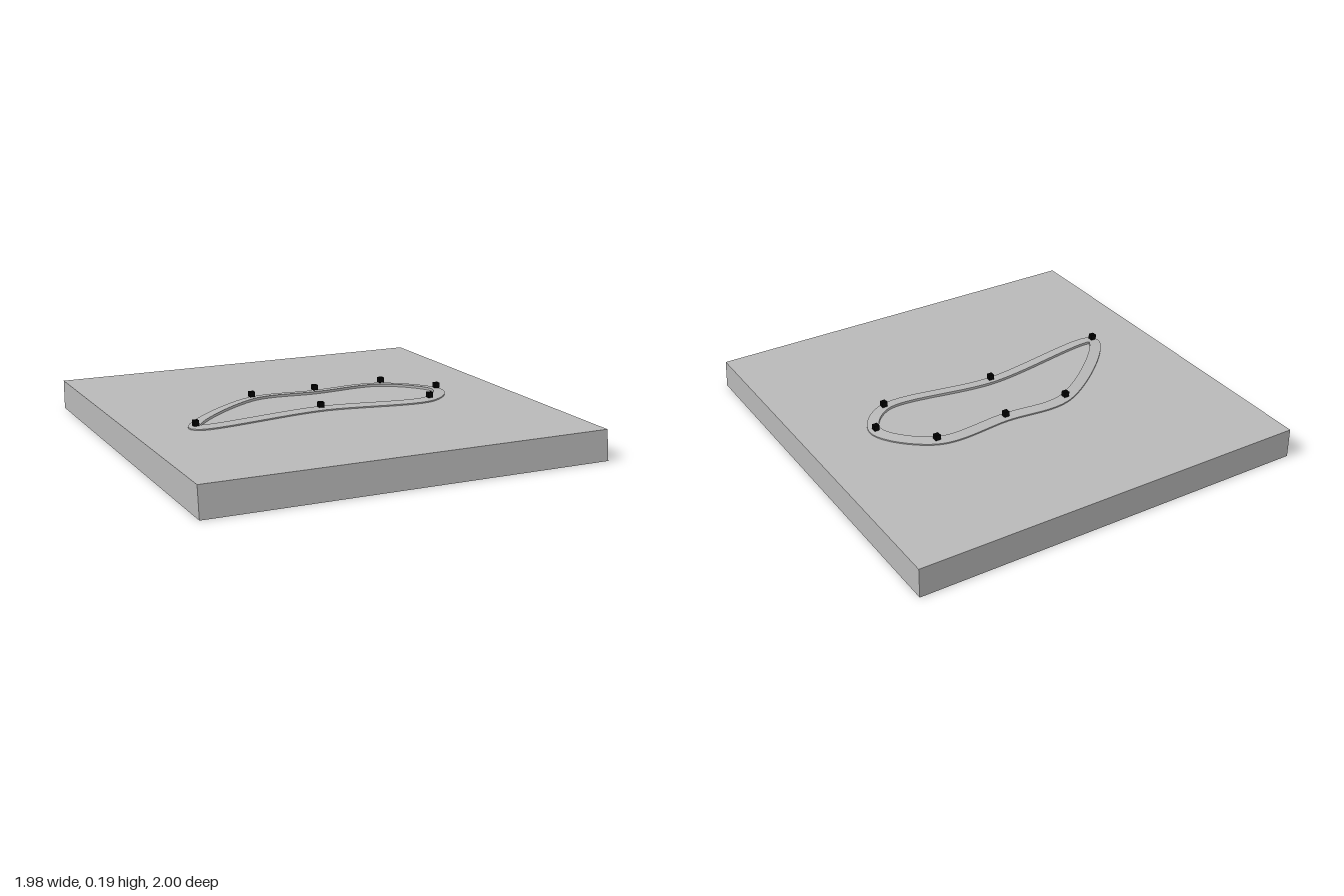
import * as THREE from 'three';
import { toCreasedNormals } from 'three/addons/utils/BufferGeometryUtils.js';

const TOP = 0.145;

// Waypoints of the loop as [x, z], clockwise seen from above
const WAYPOINTS = [
  [-0.7, 0.185], [-0.26, -0.215], [0.08, -0.215], [0.455, -0.22],
  [0.655, 0], [0.525, 0.165], [-0.04, 0.115],
];

// Block whose front face leans back slightly
function slabGeometry() {
  const g = new THREE.BoxGeometry(1.978, TOP, 2);
  g.translate(0, TOP / 2, 0);
  const p = g.attributes.position;
  for (let i = 0; i < p.count; i++) {
    if (p.getZ(i) > 0 && p.getY(i) > 0.01) p.setZ(i, 0.982);
  }
  g.computeVertexNormals();
  return g;
}

// Closed raised band swept along the curve, its inner edge slightly higher
function bandGeometry(curve, steps) {
  const half = 0.028;
  const section = [[-half, TOP - 0.005], [-half, 0.151], [half, 0.157], [half, TOP - 0.005]];
  const n = section.length;
  const up = new THREE.Vector3(0, 1, 0);
  const pos = [], index = [];
  for (let i = 0; i < steps; i++) {
    const c = curve.getPointAt(i / steps);
    const inward = curve.getTangentAt(i / steps).cross(up).normalize();
    for (const [side, y] of section) pos.push(c.x + inward.x * side, y, c.z + inward.z * side);
    const next = (i + 1) % steps;
    for (let j = 0; j < n - 1; j++) {
      const a = i * n + j, d = next * n + j;
      index.push(a, a + 1, d, a + 1, d + 1, d);
    }
  }
  const g = new THREE.BufferGeometry();
  g.setAttribute('position', new THREE.Float32BufferAttribute(pos, 3));
  g.setIndex(index);
  return toCreasedNormals(g, 0.1);
}

export function createModel() {
  const grey = new THREE.MeshStandardMaterial({ name: 'grey', color: 0xb8b8b8 });
  const black = new THREE.MeshStandardMaterial({ name: 'black', color: 0x000000 });
  const model = new THREE.Group();
  model.name = 'trackBoard';

  function add(name, geometry, material, parent = model) {
    const mesh = new THREE.Mesh(geometry, material);
    mesh.name = name;
    parent.add(mesh);
    return mesh;
  }

  add('slab', slabGeometry(), grey);

  // Track band
  const curve = new THREE.CatmullRomCurve3(
    WAYPOINTS.map(([x, z]) => new THREE.Vector3(x, 0, z)), true);
  add('track', bandGeometry(curve, 240), grey);

  // Marker cubes floating just above the track
  const markers = new THREE.Group();
  markers.name = 'markers';
  model.add(markers);
  const cube = new THREE.BoxGeometry(0.026, 0.026, 0.026);
  WAYPOINTS.forEach(([x, z], i) => {
    add(`marker${i + 1}`, cube, black, markers).position.set(x, 0.173, z);
  });

  return model;
}
